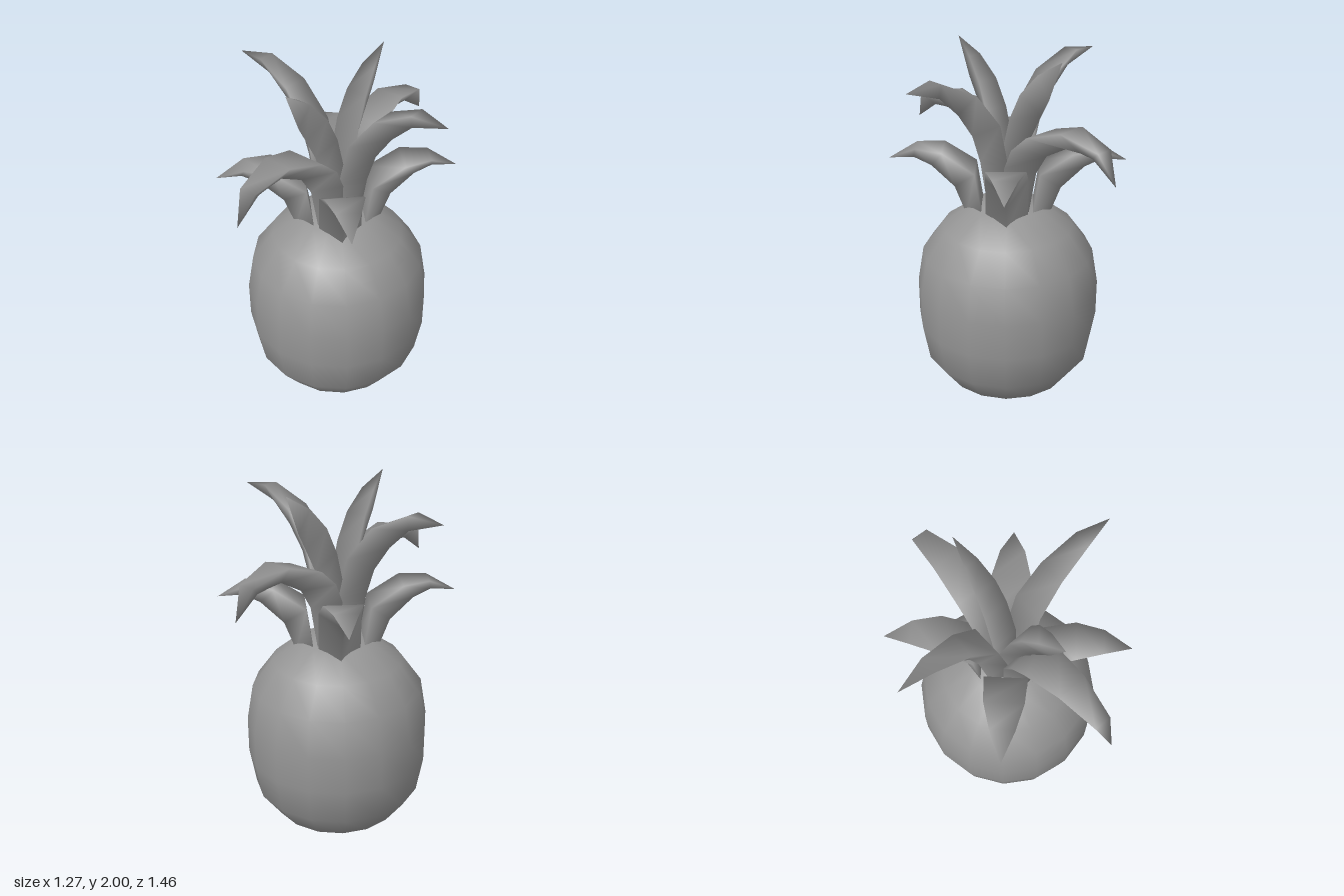
import * as THREE from 'three';

const material = new THREE.MeshStandardMaterial({ color: 0x959595 });

// Leaf pointing to +z: triangular sections [edgeR, edgeY, halfWidth, keelR, keelY], closed by a tip [r, y].
// The open base is sunk into the fruit.
function leafGeometry(sections, tip) {
  const pos = [];
  const index = [];
  for (const [r, y, w, kr, ky] of sections) {
    pos.push(-w, y, r, 0, ky, kr, w, y, r);
  }
  const tipIndex = sections.length * 3;
  pos.push(0, tip[1], tip[0]);
  for (let s = 0; s < sections.length; s++) {
    for (let j = 0; j < 3; j++) {
      const a = s * 3 + j;
      const b = s * 3 + (j + 1) % 3;
      if (s === sections.length - 1) index.push(a, b, tipIndex);
      else index.push(a, b, b + 3, a, b + 3, a + 3);
    }
  }
  const geo = new THREE.BufferGeometry();
  geo.setAttribute('position', new THREE.Float32BufferAttribute(pos, 3));
  geo.setIndex(index);
  geo.computeVertexNormals();
  return geo;
}

// Leaf kinds, each repeated at the listed angles (in eighths of a turn from the front).
const leafKinds = [
  {
    name: 'lowerLeaf', eighths: [1, 3, 5, 7], tip: [0.618, 1.42],
    sections: [
      [0.13, 1.13, 0.11, 0.22, 1.1],
      [0.167, 1.37, 0.11, 0.28, 1.26],
      [0.333, 1.48, 0.1, 0.4, 1.38],
      [0.474, 1.49, 0.063, 0.49, 1.425],
    ],
  },
  {
    name: 'droopingLeaf', eighths: [0, 4], tip: [0.73, 1.48],
    sections: [
      [0.06, 1.12, 0.08, 0.15, 1.12],
      [0.09, 1.42, 0.11, 0.21, 1.4],
      [0.14, 1.53, 0.11, 0.28, 1.51],
      [0.24, 1.62, 0.105, 0.42, 1.59],
      [0.44, 1.685, 0.08, 0.5, 1.587],
      [0.65, 1.635, 0.045, 0.58, 1.58],
    ],
  },
  {
    name: 'sideLeaf', eighths: [2, 6], tip: [0.635, 1.9],
    sections: [
      [0.06, 1.12, 0.07, 0.13, 1.12],
      [0.08, 1.42, 0.09, 0.19, 1.45],
      [0.13, 1.65, 0.085, 0.24, 1.6],
      [0.27, 1.83, 0.07, 0.33, 1.73],
      [0.46, 1.92, 0.045, 0.44, 1.835],
    ],
  },
  {
    name: 'innerLeaf', eighths: [0, 4], tip: [0.37, 2],
    sections: [
      [0.01, 1.12, 0.06, 0.09, 1.12],
      [0.02, 1.42, 0.075, 0.13, 1.44],
      [0.085, 1.67, 0.07, 0.17, 1.58],
      [0.15, 1.81, 0.06, 0.24, 1.71],
      [0.245, 1.92, 0.038, 0.29, 1.8],
    ],
  },
];

export function createModel() {
  const model = new THREE.Group();
  model.name = 'pineapple';

  // Rounded fruit body
  const profile = [
    [0, 0], [0.195, 0.05], [0.35, 0.15], [0.46, 0.3], [0.495, 0.5],
    [0.495, 0.7], [0.46, 0.9], [0.35, 1.05], [0.195, 1.16], [0, 1.195],
  ].map(([x, y]) => new THREE.Vector2(x, y));
  const body = new THREE.Mesh(new THREE.LatheGeometry(profile, 16), material);
  body.name = 'fruitBody';
  model.add(body);

  // Crown of leaves
  const crown = new THREE.Group();
  crown.name = 'crown';
  for (const { name, eighths, tip, sections } of leafKinds) {
    const geometry = leafGeometry(sections, tip);
    eighths.forEach((e, i) => {
      const leaf = new THREE.Mesh(geometry, material);
      leaf.name = `${name}${i + 1}`;
      leaf.rotation.y = e * Math.PI / 4;
      crown.add(leaf);
    });
  }
  model.add(crown);
  return model;
}
